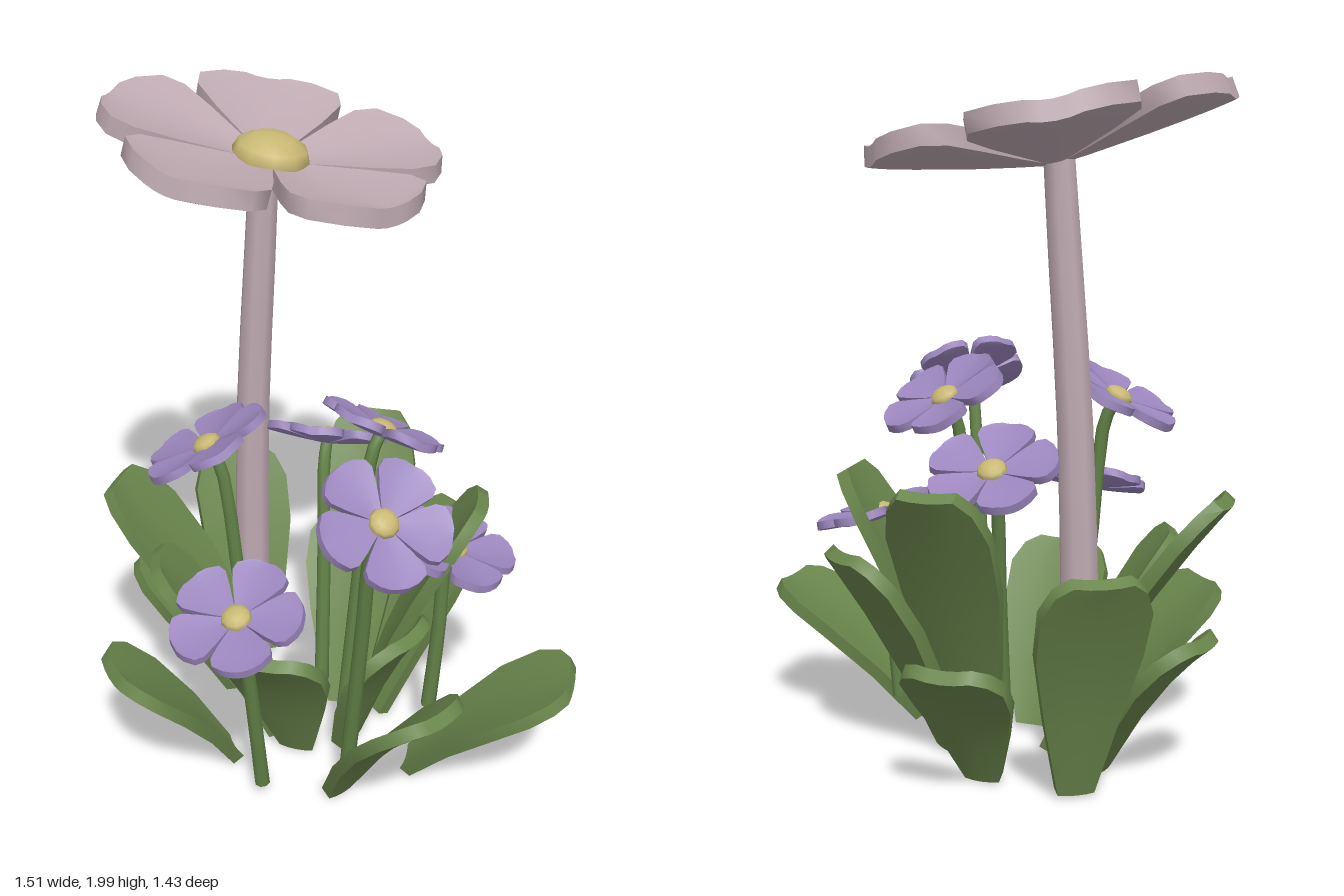
import * as THREE from 'three';
import { toCreasedNormals } from 'three/addons/utils/BufferGeometryUtils.js';

const V = (x, y, z) => new THREE.Vector3(x, y, z);
const UP = V(0, 1, 0);
const material = (name, color) => new THREE.MeshStandardMaterial({ name, color });

// Closed solid through rings with an even number of points each
function loft(rings) {
  const m = rings[0].length, last = (rings.length - 1) * m, index = [];
  const quad = (a, b, c, d) => index.push(a, b, c, a, c, d);
  for (let i = 0; i < rings.length - 1; i++) {
    for (let j = 0; j < m; j++) {
      const k = (j + 1) % m;
      quad(i * m + j, i * m + k, (i + 1) * m + k, (i + 1) * m + j);
    }
  }
  // End caps join each point to the one opposite it
  for (let j = 0; j < m / 2 - 1; j++) {
    const a = j, b = j + 1, c = m - 2 - j, d = m - 1 - j;
    quad(d, c, b, a);
    quad(last + a, last + b, last + c, last + d);
  }
  const geo = new THREE.BufferGeometry();
  geo.setAttribute('position', new THREE.Float32BufferAttribute(
    rings.flat().flatMap((p) => p.toArray()), 3));
  geo.setIndex(index);
  return toCreasedNormals(geo, 0.9);
}

// Thick blade along a curve: profile rows are [t, halfWidth]
function blade(curve, out, profile, thick, cup) {
  const side = V(out.z, 0, -out.x).normalize();
  const rings = profile.map(([t, w]) => {
    const p = curve.getPoint(t), n = curve.getTangent(t).cross(side).normalize();
    const at = (u, h) => p.clone().addScaledVector(side, u * w)
      .addScaledVector(n, cup * w * u * u + h);
    const us = [1, 0.5, 0, -0.5, -1];
    return [...us.map((u) => at(u, thick / 2)),
      ...us.slice().reverse().map((u) => at(u, -thick / 2))];
  });
  return loft(rings);
}

// Tapered round stem
function stem(points, r0, r1) {
  const curve = new THREE.CatmullRomCurve3(points), steps = 8, sides = 8;
  const rings = [];
  for (let i = 0; i <= steps; i++) {
    const t = i / steps, p = curve.getPoint(t), T = curve.getTangent(t);
    const s = V(0, 0, -1).addScaledVector(T, T.z).normalize(), n = T.clone().cross(s);
    const r = r0 + (r1 - r0) * t;
    rings.push(Array.from({ length: sides }, (_, j) => {
      const a = (j / sides) * Math.PI * 2;
      return p.clone().addScaledVector(s, r * Math.cos(a)).addScaledVector(n, r * Math.sin(a));
    }));
  }
  return loft(rings);
}

const PETAL = [[0, 0.025], [0.2, 0.083], [0.45, 0.16], [0.68, 0.22], [0.83, 0.215], [0.95, 0.14], [1, 0.07]];
const LEAF = [[0, 0.055], [0.3, 0.11], [0.6, 0.155], [0.82, 0.16], [0.94, 0.13], [1, 0.085]];

export function createModel() {
  const model = new THREE.Group();
  model.name = 'floweringPlant';
  const pink = material('palePink', 0xc0abb3);
  const purple = material('purple', 0x9b86bd);
  const yellow = material('yellow', 0xc8b873);
  const leafGreen = material('leafGreen', 0x6a864c);
  const stemGreen = material('stemGreen', 0x628147);

  const add = (parent, name, geo, mat) => {
    const mesh = new THREE.Mesh(geo, mat);
    mesh.name = name;
    parent.add(mesh);
    return mesh;
  };

  // Five petals around a domed centre, facing along a normal
  function flower(name, pos, normal, scale, rise, thick, mat, turn) {
    const g = new THREE.Group();
    g.name = name;
    const start = V(0.03, 0, 0), end = V(0.51 * Math.cos(rise), 0.51 * Math.sin(rise), 0);
    const mid = start.clone().lerp(end, 0.5).add(V(0, -0.008, 0));
    const curve = new THREE.QuadraticBezierCurve3(start, mid, end);
    const petalGeo = blade(curve, V(1, 0, 0), PETAL, thick, 0.14);
    for (let i = 0; i < 5; i++) {
      add(g, 'petal', petalGeo, mat).rotation.y = turn + (i * Math.PI * 2) / 5;
    }
    const dome = add(g, 'flowerCentre', new THREE.SphereGeometry(0.118, 10, 6), yellow);
    dome.scale.y = 0.58;
    dome.position.y = 0.04;
    g.scale.setScalar(scale);
    g.position.copy(pos);
    g.quaternion.setFromUnitVectors(UP, normal.normalize());
    model.add(g);
  }

  // Tall pink flower
  flower('largeFlower', V(-0.26, 1.8, -0.215), V(0.19, 0.98, 0), 1, 0.14, 0.055, pink, Math.PI);
  add(model, 'largeStem', stem([V(-0.345, 0.12, -0.2), V(-0.342, 0.5, -0.2), V(-0.325, 1.05, -0.205),
    V(-0.295, 1.5, -0.21), V(-0.275, 1.8, -0.215)], 0.06, 0.045), pink);

  // Small purple flowers: head, facing direction, stem base, turn
  const small = [
    [V(-0.35, 1.075, 0.17), V(-0.47, 0.88, 0.02), V(-0.22, 0.1, 0.15), 0.3],
    [V(-0.1, 0.91, -0.255), V(0.02, 0.87, -0.49), V(-0.08, 0.1, -0.08), 0.9],
    [V(-0.17, 0.735, 0.525), V(-0.05, 0.93, 0.36), V(-0.15, 0.05, 0.4), 0.05],
    [V(0.12, 1.08, -0.03), V(0.3, 0.85, -0.42), V(0.03, 0.1, 0.07), 0.5],
    [V(0.23, 1.08, 0.48), V(0.42, 0.77, 0.48), V(0.1, 0.1, 0.32), 0.2],
    [V(0.35, 0.708, -0.005), V(0.3, 0.95, 0), V(0.295, 0.13, 0.01), 0.35],
  ];
  for (const [head, normal, base, turn] of small) {
    normal.normalize();
    flower('smallFlower', head, normal, 0.38, 0.1, 0.065, purple, turn);
    const neck = head.clone().addScaledVector(normal, -0.07);
    const middle = base.clone().lerp(head, 0.55).lerp(V(base.x, head.y * 0.55, base.z), 0.2);
    add(model, 'smallStem', stem([base, middle, neck, head], 0.024, 0.018), stemGreen);
  }

  // Leaves: base x, z, then tip x, y, z, width scale
  const leaves = [
    [0.27, 0.17, 0.75, 0.42, 0.18, 1.08],
    [0.08, 0.34, 0.42, 0.53, 0.58, 0.95],
    [-0.3, 0.25, -0.58, 0.45, 0.48, 1.05],
    [-0.1, 0.17, -0.12, 0.55, 0.47, 1],
    [-0.2, 0.02, -0.72, 0.82, 0, 0.95],
    [-0.38, -0.1, -0.7, 0.45, -0.18, 0.9],
    [-0.2, 0.1, -0.53, 0.67, 0.2, 0.95],
    [-0.36, -0.3, -0.49, 0.69, -0.51, 0.98],
    [-0.08, -0.28, -0.07, 0.42, -0.6, 0.95],
    [0, -0.08, 0.0, 0.89, -0.53, 0.95],
    [0.1, -0.08, 0.33, 0.66, -0.36, 0.98],
    [0.06, -0.03, 0.43, 0.86, -0.06, 0.95],
    [0.05, 0.1, 0.27, 0.51, 0.19, 1],
  ];
  for (const [bx, bz, tx, ty, tz, width] of leaves) {
    const base = V(bx, 0.02, bz), tip = V(tx, ty, tz), out = V(tx - bx, 0, tz - bz).normalize();
    const mid = base.clone().lerp(tip, 0.5).add(V(0, 0.06, 0)).addScaledVector(out, -0.03);
    const curve = new THREE.QuadraticBezierCurve3(base, mid, tip);
    const profile = LEAF.map(([t, w]) => [t, w * width]);
    add(model, 'leaf', blade(curve, out, profile, 0.04, 0.12), leafGreen);
  }
  return model;
}
